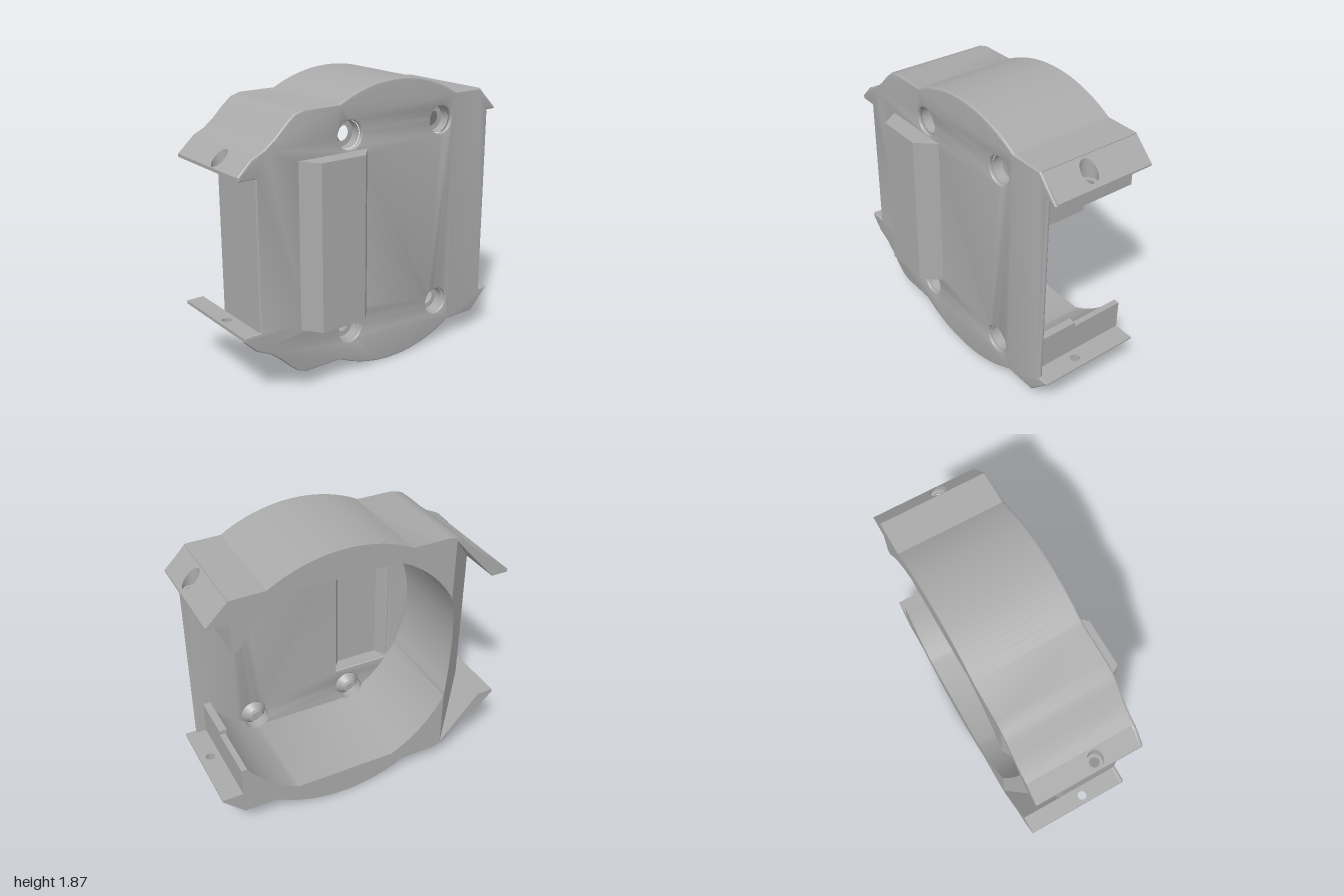
import * as THREE from 'three';
import { toCreasedNormals, mergeGeometries } from 'three/addons/utils/BufferGeometryUtils.js';

const MID = 0.945;               // mirror height
const BACK = -0.415, FLOOR = 0.28, FRONT = 0.295;
const CX = 0.13, R = 0.825;      // round cavity

const shapeOf = pts => new THREE.Shape(pts.map(p => new THREE.Vector2(p[0], p[1])));

function arc(cx, cy, r, a0, a1, n) {
  const pts = [];
  for (let i = 0; i <= n; i++) {
    const a = a0 + (a1 - a0) * i / n;
    pts.push([cx + r * Math.cos(a), cy + r * Math.sin(a)]);
  }
  return pts;
}

function circleHole(x, y, r) {
  return new THREE.Path().absarc(x, y, r, 0, Math.PI * 2, true);
}

function extrudeZ(shape, z0, z1) {
  const g = new THREE.ExtrudeGeometry(shape, { depth: z1 - z0, bevelEnabled: false, curveSegments: 12 });
  return g.translate(0, 0, z0);
}

// Flips a non-indexed geometry about the mid height and restores corner order
function mirrorY(geo) {
  const g = geo.clone(), p = g.attributes.position, a = new THREE.Vector3(), b = new THREE.Vector3();
  for (let i = 0; i < p.count; i++) p.setY(i, 2 * MID - p.getY(i));
  for (let i = 0; i < p.count; i += 3) {
    a.fromBufferAttribute(p, i + 1);
    b.fromBufferAttribute(p, i + 2);
    p.setXYZ(i + 1, b.x, b.y, b.z);
    p.setXYZ(i + 2, a.x, a.y, a.z);
  }
  g.computeVertexNormals();
  return g;
}

// Flange block with a screw hole, extruded upwards under a sloping top
function flange(x0, y0, x1, y1, base, hx, bore) {
  const layer = (r, low, topAt) => {
    const s = shapeOf([[x0, -FLOOR], [x1, -FLOOR], [x1, -BACK], [x0, -BACK]]);
    s.holes.push(circleHole(hx, 0, r));
    const g = new THREE.ExtrudeGeometry(s, { depth: 1, bevelEnabled: false, curveSegments: 12 });
    g.rotateX(-Math.PI / 2);
    const p = g.attributes.position;
    for (let i = 0; i < p.count; i++) p.setY(i, p.getY(i) > 0.5 ? topAt(p.getX(i)) : low);
    g.computeVertexNormals();
    return g;
  };
  const mid = base + 0.01;
  return mergeGeometries([
    layer(0.03, base, () => mid),
    layer(bore, mid, x => y0 + (y1 - y0) * (x - x0) / (x1 - x0)),
  ]);
}

export function createModel() {
  const group = new THREE.Group();
  const grey = new THREE.MeshStandardMaterial({ color: 0xaaaaaa });
  grey.name = 'plain grey';
  const add = (name, geo) => {
    const m = new THREE.Mesh(toCreasedNormals(geo, 0.5), grey);
    m.name = name;
    group.add(m);
  };

  // Upper outline, left shoulder to right shoulder
  const shoulder = [[-0.885, 1.545], [-0.82, 1.575], [-0.75, 1.63], [-0.68, 1.7], [-0.62, 1.75], [-0.55, 1.77]];
  const dome = arc(0.14, 0.94, 0.94, 2.058, 1.022, 24);
  const top = [...shoulder, ...dome];

  // Rim: outer skin around the cavity, one half and its mirror
  const aEdge = Math.asin(0.45 / R), aFlat = Math.asin(0.75 / R), aWall = Math.acos((-0.6 - CX) / R);
  const rim = extrudeZ(shapeOf([
    ...top, [0.86, 1.74], [0.86, 1.395],
    ...arc(CX, MID, R, aEdge, aFlat, 10),
    ...arc(CX, MID, R, Math.PI - aFlat, aWall, 12),
    [-0.6, 1.74], [-0.885, 1.42],
  ]), BACK, FLOOR);
  add('upperRim', rim);
  add('lowerRim', mirrorY(rim));

  // Screw flanges on both sides
  const flanges = {
    RightSide: flange(-1, 1.44, -0.885, 1.545, 1.42, -0.946, 0.05),
    LeftSide: flange(0.86, 1.735, 0.997, 1.602, 1.59, 0.925, 0.055),
  };
  for (const [side, geo] of Object.entries(flanges)) {
    add('upperFlange' + side, geo);
    add('lowerFlange' + side, mirrorY(geo));
  }

  // Closed side wall with a slanted back face
  const wall = extrudeZ(shapeOf([
    [-0.6, 1.74], [-0.885, 1.42], [-0.885, 0.47], [-0.6, 0.15],
    ...arc(CX, MID, R, 2 * Math.PI - aWall, aWall, 24),
  ]), BACK, FLOOR);
  const wp = wall.attributes.position;
  for (let i = 0; i < wp.count; i++) {
    if (wp.getZ(i) < 0) wp.setZ(i, BACK + (-0.6 - wp.getX(i)) * 0.985);
  }
  wall.computeVertexNormals();
  add('sideWall', wall);

  // Small steps at the open side
  const step = new THREE.BoxGeometry(0.05, 0.035, 0.32).translate(0.835, 1.383, 0.12).toNonIndexed();
  add('upperOpeningStep', step);
  add('lowerOpeningStep', mirrorY(step));

  // Front plate with rounded edge, screw holes and the bump opening
  const upper = [
    [0.925, 1.59], [0.997, 1.59], [0.855, 1.74], ...dome.slice().reverse(),
    ...shoulder.slice().reverse(), [-0.915, 1.53], [-1, 1.445], [-1, 1.415], [-0.885, 1.415],
  ];
  const lower = upper.map(([x, y]) => [x, 2 * MID - y]).reverse();
  const plateShape = shapeOf([...upper, ...lower]);
  const screws = [];
  for (const x of [-0.225, 0.505]) for (const y of [1.575, 0.315]) screws.push([x, y]);
  for (const [x, y] of screws) plateShape.holes.push(circleHole(x, y, 0.088));
  plateShape.holes.push(new THREE.Path(
    [[-0.55, 0.46], [-0.55, 1.43], [-0.14, 1.43], [-0.14, 0.46]].map(p => new THREE.Vector2(...p))));
  const plate = new THREE.ExtrudeGeometry(plateShape, {
    depth: 0.002, bevelThickness: 0.014, bevelSize: 0.012, bevelOffset: -0.012, bevelSegments: 3, curveSegments: 16,
  });
  add('frontPlate', plate.translate(0, 0, FRONT - 0.016));

  // Countersunk screw bosses
  const bossProfile = [[0.085, 0.27], [0.085, 0.205], [0.05, 0.205], [0.05, 0.235], [0.1005, 0.295]]
    .map(([r, z]) => new THREE.Vector2(r, z));
  for (const [x, y] of screws) {
    const boss = new THREE.LatheGeometry(bossProfile, 32).rotateX(Math.PI / 2);
    // the lathe axis now runs along z
    add('screwBoss', boss.translate(x, y, 0));
  }

  // Hollow bump on the front: a channel closed by two end caps
  const outer = [[-0.605, 0.285], [-0.59, 0.31], [-0.52, 0.415], [-0.2, 0.415], [-0.12, 0.325], [-0.085, 0.285]];
  const inner = [[-0.13, 0.285], [-0.21, 0.39], [-0.51, 0.39], [-0.565, 0.285]];
  const alongY = (pts, y0, y1) => {
    const g = new THREE.ExtrudeGeometry(shapeOf(pts.map(([x, z]) => [x, -z])), { depth: y1 - y0, bevelEnabled: false });
    return g.rotateX(-Math.PI / 2).translate(0, y0, 0);
  };
  add('bumpChannel', alongY([...outer, ...inner], 0.44, 1.45));
  add('bumpUpperEnd', alongY(outer, 1.45, 1.475));
  add('bumpLowerEnd', alongY(outer, 0.415, 0.44));

  return group;
}
